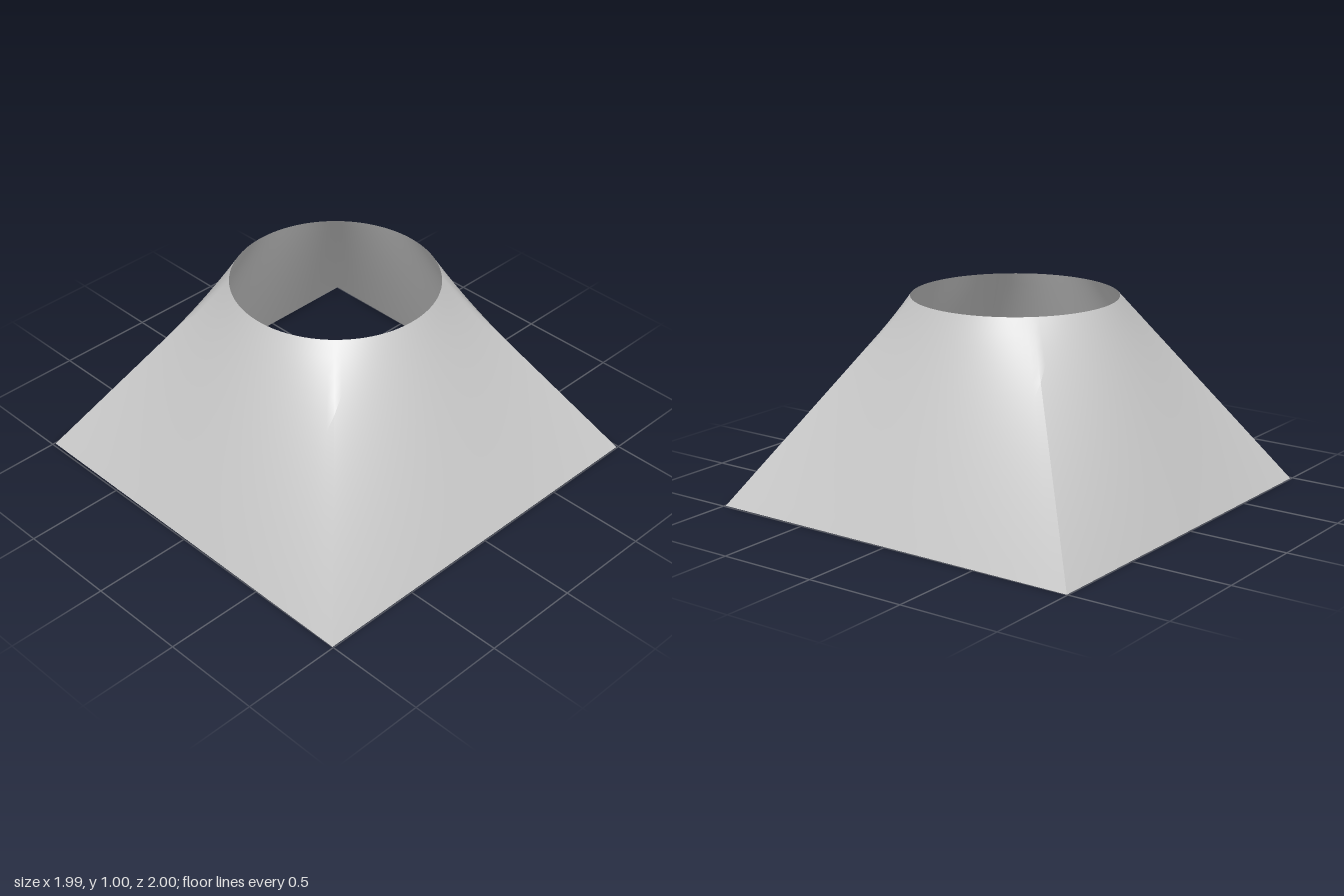
import * as THREE from 'three';
import { toCreasedNormals } from 'three/addons/utils/BufferGeometryUtils.js';

const HEIGHT = 0.995;
const RIM = { x: -0.013, z: -0.014, radius: 0.5 };
// base corners, counter-clockwise seen from above, starting at front left (+x, +z)
const CORNERS = [[0.995, 1], [0.995, -0.99], [-0.995, -1], [-0.995, 0.986]];
const PER_SIDE = 28, ROWS = 16;

// Open sheet lofted with straight rulings from the square base to the round rim
function squareToRoundGeometry() {
  const columns = PER_SIDE * 4;
  const positions = [], index = [];
  for (let row = 0; row <= ROWS; row++) {
    const v = row / ROWS;
    for (let col = 0; col < columns; col++) {
      const side = Math.floor(col / PER_SIDE);
      const t = (col % PER_SIDE) / PER_SIDE;
      const [ax, az] = CORNERS[side], [bx, bz] = CORNERS[(side + 1) % 4];
      const angle = Math.PI / 4 + (col / columns) * Math.PI * 2;
      const rimX = RIM.x + RIM.radius * Math.sin(angle);
      const rimZ = RIM.z + RIM.radius * Math.cos(angle);
      positions.push(
        THREE.MathUtils.lerp(ax + (bx - ax) * t, rimX, v),
        HEIGHT * v,
        THREE.MathUtils.lerp(az + (bz - az) * t, rimZ, v));
      if (row < ROWS) {
        const next = (col + 1) % columns;
        const a = row * columns + col, b = row * columns + next;
        index.push(a, b, b + columns, a, b + columns, a + columns);
      }
    }
  }
  const geometry = new THREE.BufferGeometry();
  geometry.setAttribute('position', new THREE.Float32BufferAttribute(positions, 3));
  geometry.setIndex(index);
  // corner folds stay sharp near the base and melt into the round rim
  return toCreasedNormals(geometry, Math.PI / 6);
}

export function createModel() {
  const model = new THREE.Group();
  model.name = 'squareToRoundTransition';
  const shell = new THREE.Mesh(
    squareToRoundGeometry(),
    new THREE.MeshStandardMaterial({ color: 0xcccccc, side: THREE.DoubleSide }));
  shell.name = 'shell';
  model.add(shell);
  return model;
}
